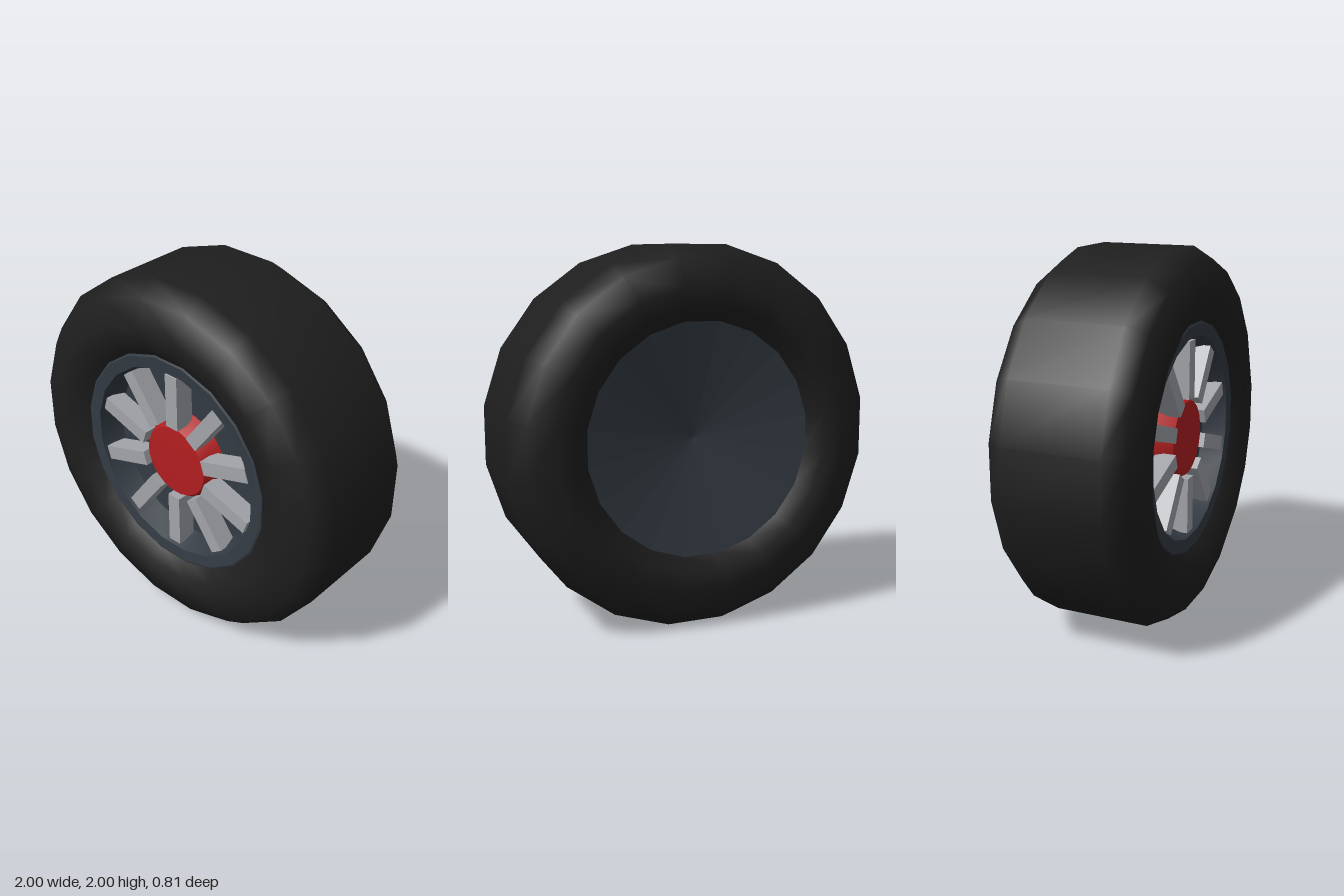
import * as THREE from 'three';
import { toCreasedNormals } from 'three/addons/utils/BufferGeometryUtils.js';

const SIDES = 20;

function mat(name, color) {
  const m = new THREE.MeshStandardMaterial({ color });
  m.name = name;
  return m;
}

// Revolve [radius, z] points around the z axle, with a flat facet at the top
function turned(name, profile, material, crease) {
  const points = profile.map(([r, z]) => new THREE.Vector2(r, z));
  let geo = new THREE.LatheGeometry(points, SIDES, Math.PI / SIDES);
  geo.rotateX(Math.PI / 2);
  if (crease) geo = toCreasedNormals(geo, crease);
  const mesh = new THREE.Mesh(geo, material);
  mesh.name = name;
  return mesh;
}

export function createModel() {
  const rubber = mat('black rubber', 0x1e1e1e);
  const steel = mat('dark blue grey', 0x333b43);
  const silver = mat('silver grey', 0xa2a4a9);
  const red = mat('hub red', 0xb21e20);

  const wheel = new THREE.Group();
  wheel.name = 'wheel';
  wheel.position.y = 1;

  // Tyre: flat tread, rounded shoulders, side walls dipping in to the rim
  const half = [[1.0125, 0.26], [0.94, 0.357], [0.8, 0.405], [0.7, 0.388], [0.622, 0.325]];
  const back = half.map(([r, z]) => [r, -z]).reverse();
  wheel.add(turned('tyre', [...back, ...half], rubber));

  // Rim: dished back plate, and a front lip stepping down to the floor
  wheel.add(turned('rimBack', [[0, -0.22], [0.622, -0.325]], steel, 0.02));
  wheel.add(turned('rimFront', [
    [0.63, 0.31], [0.628, 0.332], [0.618, 0.337], [0.553, 0.33], [0.51, 0.2], [0, 0.18],
  ], steel, 0.5));

  // Hub: tapered red boss with a shallow cap
  wheel.add(turned('hub', [
    [0.265, 0.16], [0.26, 0.18], [0.208, 0.285], [0.202, 0.297], [0, 0.305],
  ], red, 0.5));

  // Ten bar spokes
  const spokes = new THREE.Group();
  spokes.name = 'spokes';
  const bar = new THREE.BoxGeometry(0.08, 0.31, 0.11);
  bar.translate(0, 0.375, 0.265);
  for (let i = 0; i < 10; i++) {
    const spoke = new THREE.Mesh(bar, silver);
    spoke.name = 'spoke';
    spoke.rotation.z = (i * Math.PI) / 5;
    spokes.add(spoke);
  }
  wheel.add(spokes);

  const model = new THREE.Group();
  model.name = 'wheelModel';
  model.add(wheel);
  return model;
}
